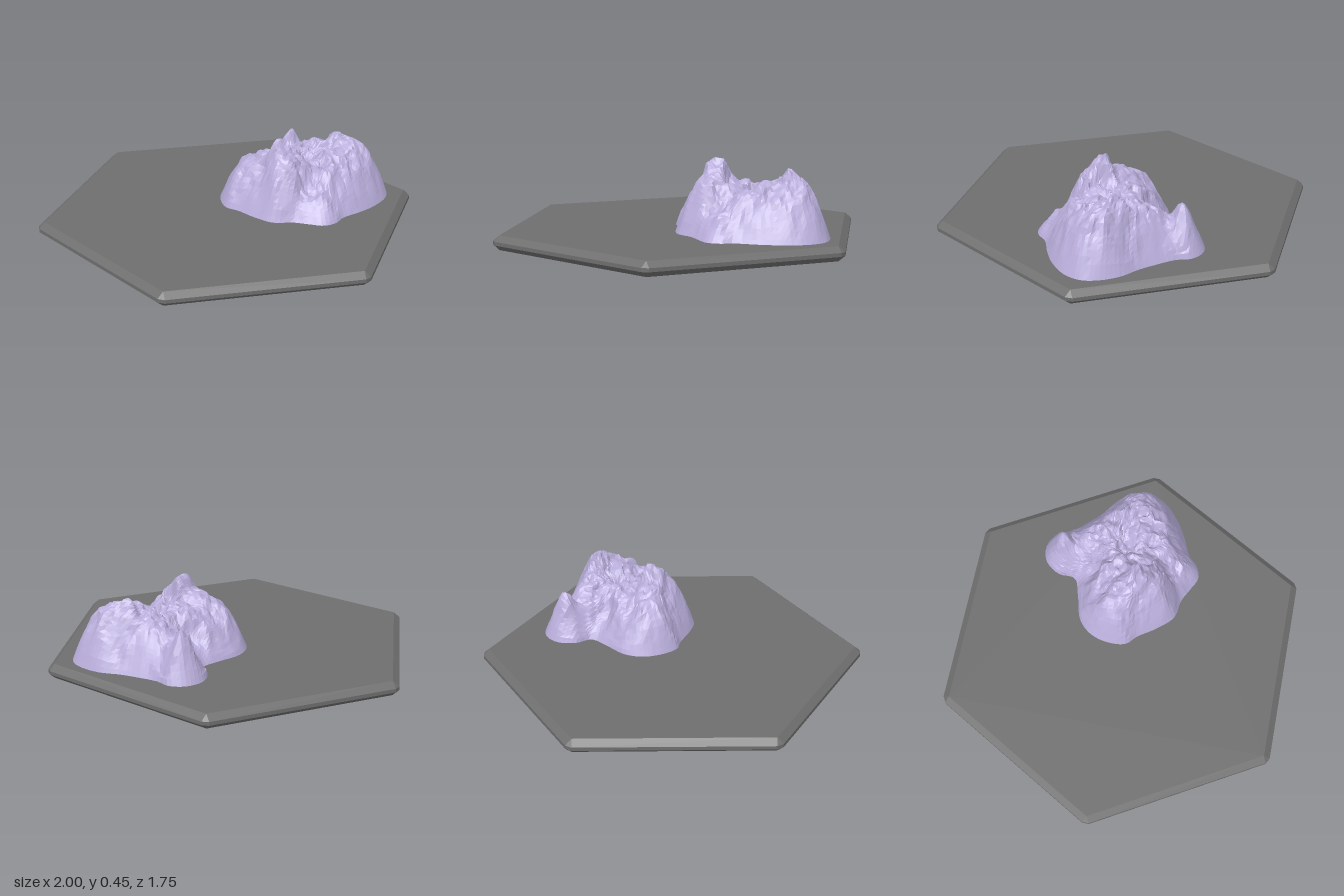
import * as THREE from 'three';
import { ConvexGeometry } from 'three/addons/geometries/ConvexGeometry.js';

const stone = new THREE.MeshStandardMaterial({ color: 0x6e6e6e });
stone.name = 'grey stone';
const rock = new THREE.MeshStandardMaterial({ color: 0xb9aedb, flatShading: true });
rock.name = 'lilac rock';

// Hexagonal tile: flat hexagons above and below, bevelled out to a rim with cut corners
function createTile() {
  const points = [];
  for (let i = 0; i < 6; i++) {
    const a = (i * Math.PI) / 3;
    const add = (x, y, z) => points.push(new THREE.Vector3(
      x * Math.cos(a) - z * Math.sin(a), y, x * Math.sin(a) + z * Math.cos(a)));
    for (const y of [0, 0.075]) add(0.972, y, 0);
    for (const y of [0.028, 0.047]) for (const z of [-0.018, 0.018]) add(1, y, z);
  }
  const tile = new THREE.Mesh(new ConvexGeometry(points), stone);
  tile.name = 'hexTile';
  return tile;
}

// Seeded value noise
function hash(i, j) {
  const s = Math.sin(i * 127.1 + j * 311.7) * 43758.5453;
  return s - Math.floor(s);
}
function noise(x, z) {
  const i = Math.floor(x), j = Math.floor(z);
  const u = THREE.MathUtils.smoothstep(x - i, 0, 1), v = THREE.MathUtils.smoothstep(z - j, 0, 1);
  const near = THREE.MathUtils.lerp(hash(i, j), hash(i + 1, j), u);
  const far = THREE.MathUtils.lerp(hash(i, j + 1), hash(i + 1, j + 1), u);
  return THREE.MathUtils.lerp(near, far, v) * 2 - 1;
}

// Foot of the mountain as x, z
const FOOT = [
  [-0.03, -0.08], [0, -0.18], [0.07, -0.25], [0.2, -0.29], [0.3, -0.33], [0.31, -0.42],
  [0.37, -0.5], [0.46, -0.52], [0.54, -0.48], [0.57, -0.41], [0.64, -0.33], [0.71, -0.26],
  [0.8, -0.19], [0.86, -0.1], [0.88, -0.02], [0.85, 0.07], [0.76, 0.16], [0.66, 0.22],
  [0.55, 0.27], [0.5, 0.32], [0.43, 0.34], [0.36, 0.31], [0.28, 0.27], [0.18, 0.25],
  [0.1, 0.17], [0.03, 0.07], [-0.02, 0.02],
];
// Peaks, saddles and gullies as x, z, height
const CROWN = [
  [0.26, 0.05, 0.45], [0.29, 0.04, 0.43], [0.2, 0.0, 0.37], [0.13, -0.05, 0.32], [0.13, 0.08, 0.32],
  [0.23, 0.16, 0.37], [0.2, -0.17, 0.28], [0.3, -0.1, 0.32], [0.36, 0.04, 0.31], [0.4, 0.2, 0.2],
  [0.42, 0.27, 0.23], [0.34, -0.24, 0.2], [0.45, -0.05, 0.27], [0.46, 0.08, 0.27], [0.53, 0.15, 0.3],
  [0.55, -0.02, 0.34], [0.62, -0.12, 0.4], [0.55, -0.18, 0.33], [0.7, -0.05, 0.37], [0.66, 0.08, 0.33],
  [0.76, 0, 0.33], [0.53, -0.28, 0.31], [0.45, -0.42, 0.35], [0.45, -0.33, 0.26], [0.66, -0.22, 0.31],
];
const BASE = 0.07;

// Blend of the crown heights around a spot
function crownHeight(x, z) {
  let sum = 0, total = 0;
  for (const [px, pz, h] of CROWN) {
    const w = 1 / (Math.hypot(x - px, z - pz) ** 3 + 1e-5);
    sum += w * h;
    total += w;
  }
  return sum / total;
}

// Mountain: rings shrinking from the foot, lifted by the crown and roughened
function createMountain() {
  const sides = 110, rings = 30, cx = 0.43, cz = -0.06;
  const curve = new THREE.CatmullRomCurve3(FOOT.map(([x, z]) => new THREE.Vector3(x, 0, z)), true);
  const foot = curve.getSpacedPoints(sides).slice(0, sides);
  const positions = [], index = [];
  for (let r = 0; r <= rings; r++) {
    const t = 1 - r / rings;
    for (let s = 0; s < sides; s++) {
      let x = cx + (foot[s].x - cx) * t;
      let z = cz + (foot[s].z - cz) * t;
      const edge = Math.min(...foot.map((p) => Math.hypot(p.x - x, p.z - z)));
      const rise = Math.sin((Math.PI / 2) * Math.min(1, edge / 0.17));
      // Ridged folds down the slopes and fine crags near the top
      const folds = 0.03 * (0.45 - Math.abs(noise(x * 14 + 5, z * 14)));
      const crags = 0.012 * noise(x * 38, z * 38 + 9) + 0.007 * noise(x * 75 + 3, z * 75);
      const y = BASE + (crownHeight(x, z) - BASE) * rise + (folds + crags * rise) * rise;
      if (r > 0 && r < rings) {
        x += 0.012 * rise * noise(x * 30 + 40, z * 30);
        z += 0.012 * rise * noise(x * 30, z * 30 + 70);
      }
      positions.push(x, y, z);
      if (r < rings) {
        const a = r * sides + s, b = r * sides + ((s + 1) % sides);
        index.push(a, a + sides, b);
        if (r < rings - 1) index.push(b, a + sides, b + sides);
      }
    }
  }
  const geometry = new THREE.BufferGeometry();
  geometry.setAttribute('position', new THREE.Float32BufferAttribute(positions, 3));
  geometry.setIndex(index);
  geometry.computeVertexNormals();
  const mountain = new THREE.Mesh(geometry, rock);
  mountain.name = 'mountain';
  return mountain;
}

export function createModel() {
  const model = new THREE.Group();
  model.name = 'mountainTile';
  model.add(createTile(), createMountain());
  return model;
}
